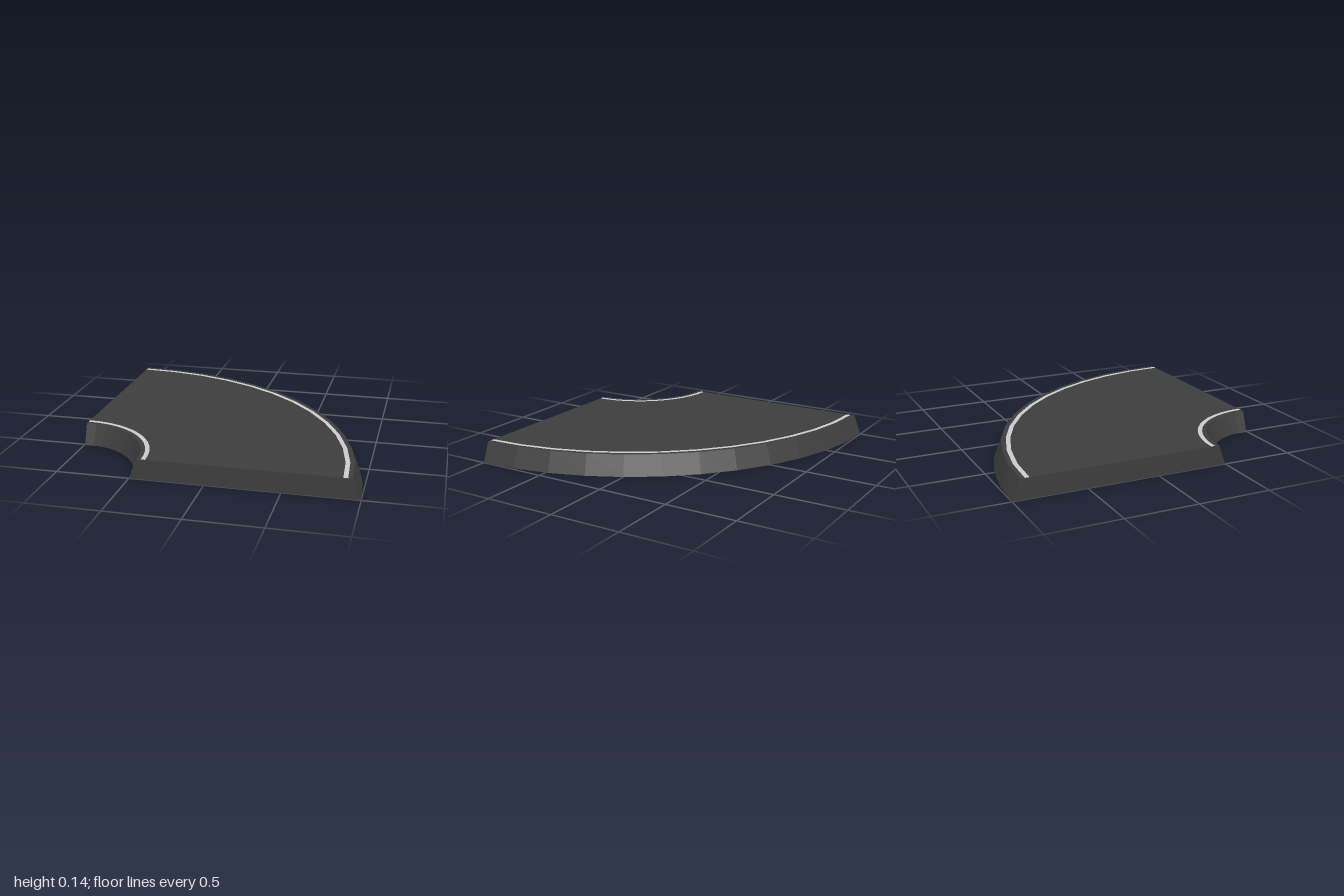
import * as THREE from 'three';

const HEIGHT = 0.14;
const SEGMENTS = 12;

export function createModel() {
  const model = new THREE.Group();
  model.name = 'curvedRoad';

  // Everything turns about the corner of the quarter circle
  const road = new THREE.Group();
  road.name = 'quarterTurn';
  road.position.set(-1, 0, 1);
  model.add(road);

  const asphalt = new THREE.MeshStandardMaterial({ color: 0x3e3e3e, flatShading: true });
  const paint = new THREE.MeshStandardMaterial({ color: 0xcccccc, flatShading: true });

  const add = (name, geometry, material) => {
    const mesh = new THREE.Mesh(geometry, material);
    mesh.name = name;
    road.add(mesh);
  };

  // Sweeps a line of [radius, height] points through the quarter turn
  const sweep = (name, points, material) => {
    const profile = points.map(([r, y]) => new THREE.Vector2(r, y));
    add(name, new THREE.LatheGeometry(profile, SEGMENTS, Math.PI / 2, Math.PI / 2), material);
  };

  // Sloped sides and underside
  sweep('base', [[0.555, HEIGHT], [0.5, 0], [2, 0], [1.945, HEIGHT]], asphalt);

  // Top surface, in flush bands from the outer edge inwards
  const bands = [
    ['outerShoulder', 1.945, 1.915, asphalt],
    ['outerLine', 1.915, 1.885, paint],
    ['roadway', 1.885, 0.615, asphalt],
    ['innerLine', 0.615, 0.585, paint],
    ['innerShoulder', 0.585, 0.555, asphalt],
  ];
  for (const [name, outer, inner, material] of bands) {
    sweep(name, [[outer, HEIGHT], [inner, HEIGHT]], material);
  }

  // Flat trapezoid ends
  const endCap = (side) => new THREE.ShapeGeometry(new THREE.Shape(
    [[0.5, 0], [2, 0], [1.945, HEIGHT], [0.555, HEIGHT]]
      .map(([r, y]) => new THREE.Vector2(side * r, y))));
  add('frontEnd', endCap(1), asphalt);
  add('sideEnd', endCap(-1).rotateY(-Math.PI / 2), asphalt);

  return model;
}
